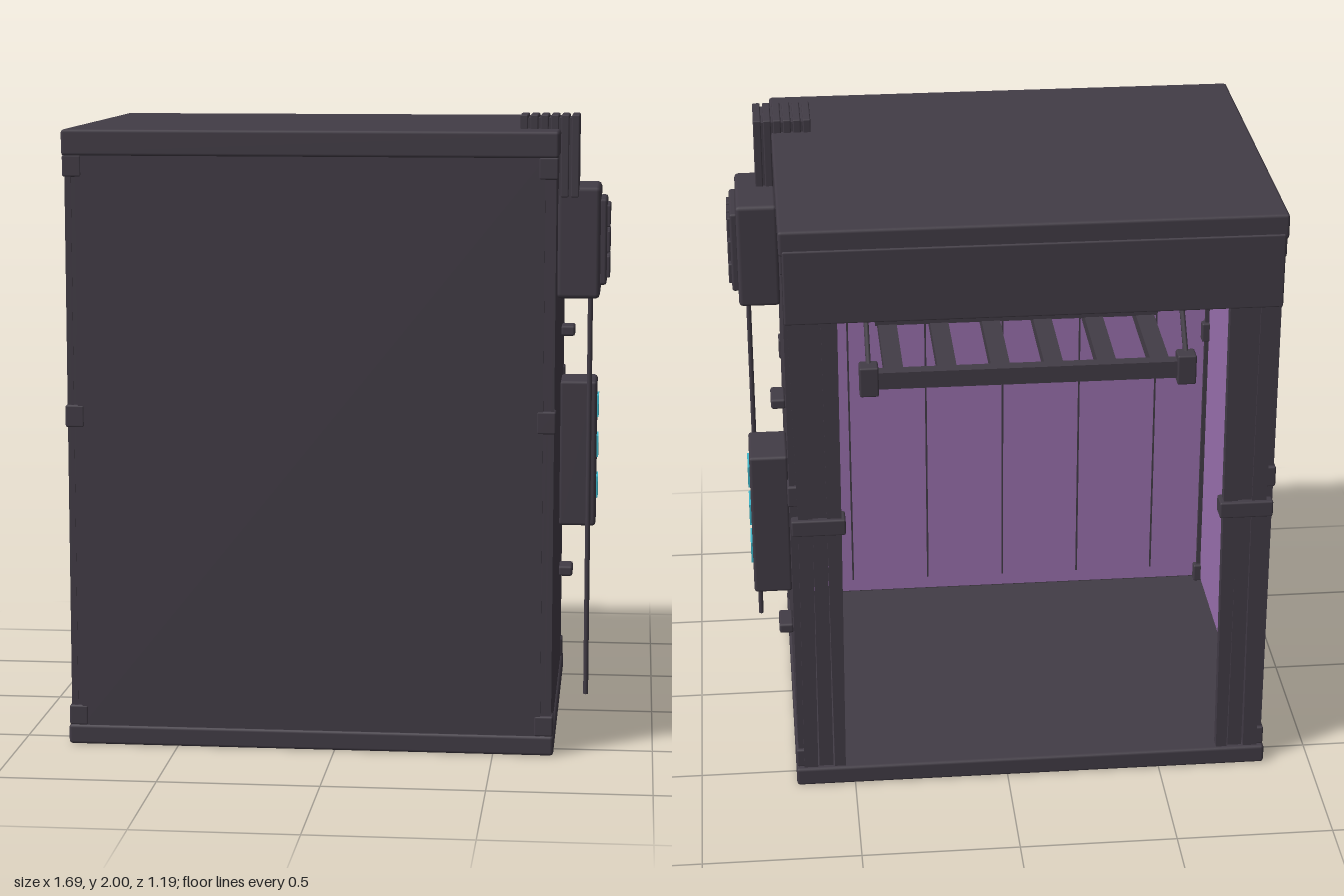
import * as THREE from 'three';
import { RoundedBoxGeometry } from 'three/addons/geometries/RoundedBoxGeometry.js';

const mat = (name, color) => Object.assign(new THREE.MeshStandardMaterial({ color }), { name });

export function createModel() {
  const dark = mat('charcoal fabric', 0x423c46);
  const purple = mat('purple lining', 0x9a70ae);
  const teal = mat('teal display', 0x3cb6ca);
  const root = new THREE.Group();
  root.name = 'growTent';

  const add = (name, geo, m = dark, parent = root) => {
    const mesh = new THREE.Mesh(geo, m);
    mesh.name = name;
    parent.add(mesh);
    return mesh;
  };
  // box given by its limits, optionally bevelled
  const box = (name, x0, x1, y0, y1, z0, z1, m = dark, bevel = 0, parent = root) => {
    const s = [x1 - x0, y1 - y0, z1 - z0];
    const geo = bevel ? new RoundedBoxGeometry(...s, 1, bevel) : new THREE.BoxGeometry(...s);
    geo.translate((x0 + x1) / 2, (y0 + y1) / 2, (z0 + z1) / 2);
    return add(name, geo, m, parent);
  };
  // round or square bar between two points
  const bar = (name, a, b, r, sides = 8, m = dark, parent = root) => {
    const p = new THREE.Vector3(...a), d = new THREE.Vector3(...b).sub(p);
    const mesh = add(name, new THREE.CylinderGeometry(r, r, d.length(), sides), m, parent);
    mesh.position.copy(p).addScaledVector(d, 0.5);
    mesh.quaternion.setFromUnitVectors(new THREE.Vector3(0, 1, 0), d.normalize());
    return mesh;
  };

  // floor tray and roof cap
  box('floorTray', -0.85, 0.69, 0.005, 0.068, -0.59, 0.592, dark, 0.01);
  box('roofCap', -0.85, 0.69, 1.875, 1.957, -0.59, 0.592, dark, 0.01);

  // walls with purple lining inside
  box('frontWall', -0.808, 0.648, 0.065, 1.878, 0.56, 0.585);
  box('frontLining', -0.82, 0.66, 0.075, 1.87, 0.552, 0.559, purple);
  for (const s of [-1, 1]) {
    const x = (v) => -0.08 + s * v;
    const span = (a, b) => [Math.min(x(a), x(b)), Math.max(x(a), x(b))];
    box('sideWall', ...span(0.742, 0.762), 0.065, 1.878, -0.56, 0.575);
    box('sideLining', ...span(0.734, 0.741), 0.075, 1.87, -0.555, 0.555, purple);
  }
  // seams on the inside of the front wall
  for (let i = 0; i < 5; i++) {
    const x = -0.63 + i * 0.27;
    box('seam', x - 0.003, x + 0.003, 0.12, 1.75, 0.549, 0.553);
  }

  // corner poles and their joints
  for (const s of [-1, 1]) for (const z of [-0.54, 0.555]) {
    const x = -0.08 + s * 0.738;
    box('cornerPole', x - 0.018, x + 0.018, 0.06, 1.88, z - 0.018, z + 0.018);
    for (const [y0, y1] of [[0.066, 0.13], [1.025, 1.095], [1.81, 1.878]])
      box('poleJoint', x - 0.03, x + 0.03, y0, y1, z - 0.032, z + 0.032, dark, 0.006);
  }

  // open back: header, and a gathered curtain tied at either side
  box('backHeader', -0.84, 0.68, 1.655, 1.895, -0.595, -0.57, dark, 0.006);
  for (const s of [-1, 1]) {
    const curtain = new THREE.Group();
    curtain.name = 'tiedCurtain';
    root.add(curtain);
    const folds = [[0.752, 0.695, 0.745, 0.7], [0.7, 0.645, 0.695, 0.65], [0.65, 0.6, 0.645, 0.61]];
    folds.forEach(([top0, top1, low0, low1], i) => {
      const pinch = 0.738 - i * 0.045;
      const pts = [[top0, 1.7], [pinch, 0.96], [low0, 0.07], [low1, 0.07], [pinch - 0.045, 0.96], [top1, 1.7]];
      const shape = new THREE.Shape(pts.map(([x, y]) => new THREE.Vector2(-0.08 + s * x, y)));
      const geo = new THREE.ExtrudeGeometry(shape, { depth: 0.035, bevelEnabled: false });
      geo.translate(0, 0, i % 2 ? -0.575 : -0.582);
      add('curtainFold', geo, dark, curtain);
    });
    const c = -0.08 + s * 0.675;
    box('curtainTie', c - 0.085, c + 0.085, 0.93, 0.985, -0.595, -0.53, dark, 0.006, curtain);
  }

  // hanging lamp rack: rails along x, slats along z
  const rack = new THREE.Group();
  rack.name = 'hangingRack';
  rack.position.set(-0.08, 1.37, 0);
  root.add(rack);
  for (const z of [-0.39, 0.39]) {
    box('rackRail', -0.5, 0.5, -0.028, 0.028, z - 0.02, z + 0.02, dark, 0, rack);
    for (const x of [-0.5, 0.5]) {
      box('rackCorner', x - 0.03, x + 0.03, -0.05, 0.05, z - 0.03, z + 0.03, dark, 0.006, rack);
      bar('hangerStrap', [x, 0.03, z], [x, 0.46, 0], 0.009, 6, dark, rack);
    }
  }
  for (let i = 0; i < 6; i++) {
    const x = -0.42 + i * 0.168;
    box('rackSlat', x - 0.03, x + 0.03, -0.02, 0.02, -0.38, 0.38, dark, 0, rack);
  }
  box('rackCrossBar', -0.46, 0.46, 0.018, 0.045, -0.03, 0.03, dark, 0, rack);
  for (const x of [-0.5, 0.5]) {
    box('hangerBlock', x - 0.02, x + 0.02, 0.43, 0.51, -0.02, 0.02, dark, 0, rack);
  }

  // fan box with grille
  box('fanBox', 0.68, 0.815, 1.425, 1.775, 0.07, 0.385, dark, 0.014);
  box('fanBezel', 0.81, 0.835, 1.465, 1.735, 0.11, 0.34, dark, 0.008);
  for (let i = 0; i < 3; i++) for (let j = 0; j < 3; j++) {
    const y = 1.52 + i * 0.08, z = 0.157 + j * 0.068;
    box('grilleCell', 0.83, 0.845, y - 0.034, y + 0.034, z - 0.028, z + 0.028, dark, 0.004);
  }

  // ribbed duct bending over the roof edge
  box('ductCore', 0.565, 0.745, 1.94, 1.99, 0.255, 0.41);
  box('ductDrop', 0.685, 0.745, 1.75, 1.99, 0.255, 0.41);
  for (let i = 0; i < 6; i++) {
    const x = 0.562 + i * 0.032;
    box('ductRib', x, x + 0.025, i < 4 ? 1.95 : 1.745, 2, 0.245, 0.418, dark, 0.004);
  }

  // power cable below the fan
  bar('cable', [0.785, 0.14, 0.315], [0.785, 1.44, 0.315], 0.008);

  // control box with three displays, and clips above and below
  box('controlBox', 0.68, 0.803, 0.6, 1.09, -0.352, -0.158, dark, 0.01);
  for (const y of [0.725, 0.863, 1.0])
    box('display', 0.802, 0.809, y - 0.036, y + 0.036, -0.307, -0.207, teal);
  for (const y of [0.433, 1.253])
    box('cableClip', 0.68, 0.727, y - 0.017, y + 0.017, -0.307, -0.205, dark, 0.008);

  return root;
}
